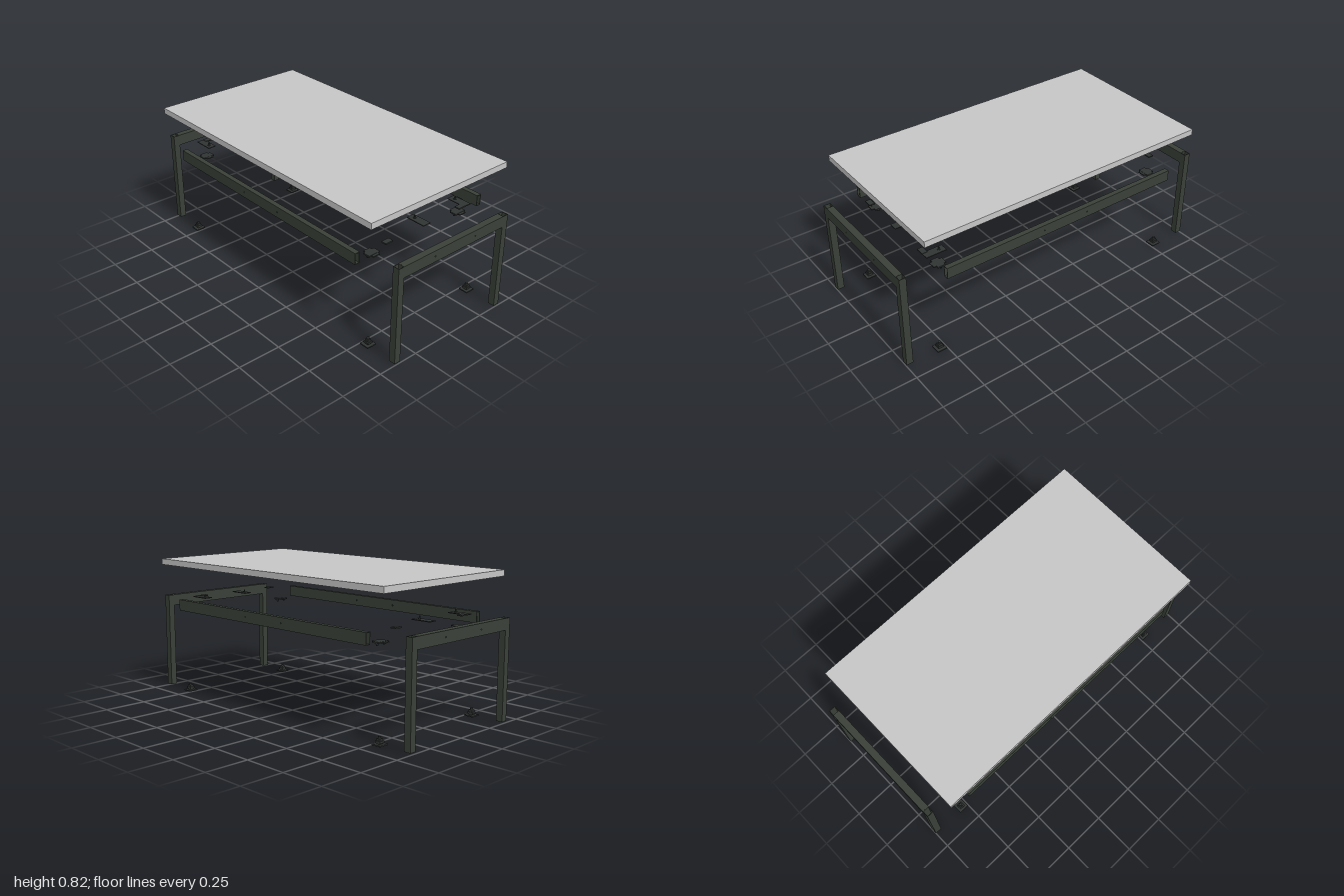
import * as THREE from 'three';

export function createModel() {
  const model = new THREE.Group();
  const mat = (name, color) => Object.assign(new THREE.MeshStandardMaterial({ color }), { name });
  const topGrey = mat('tabletop grey', 0xc6c6c6);
  const frameGreen = mat('frame dark green', 0x3a4038);
  const hardware = mat('hardware dark grey', 0x303432);

  const add = (parent, name, geometry, material, x = 0, y = 0, z = 0) => {
    const mesh = new THREE.Mesh(geometry, material);
    mesh.name = name;
    mesh.position.set(x, y, z);
    parent.add(mesh);
    return mesh;
  };
  const group = (name, x = 0, y = 0, z = 0) => {
    const g = new THREE.Group();
    g.name = name;
    g.position.set(x, y, z);
    model.add(g);
    return g;
  };
  const box = (parent, name, material, size, pos) =>
    add(parent, name, new THREE.BoxGeometry(...size), material, ...pos);
  const rect = (T, w, h) => {
    const p = new T();
    p.moveTo(-w / 2, -h / 2).lineTo(w / 2, -h / 2).lineTo(w / 2, h / 2).lineTo(-w / 2, h / 2).closePath();
    return p;
  };
  const WALL = 0.003;

  // Open box section lying along x, with through holes in both side walls
  const drilledTube = (parent, name, length, height, width, holeX) => {
    const side = rect(THREE.Shape, length, height);
    for (const s of [-1, 1]) {
      side.holes.push(new THREE.Path().absarc(s * holeX, 0, 0.004, 0, Math.PI * 2, true));
    }
    const wall = new THREE.ExtrudeGeometry(side, { depth: WALL, bevelEnabled: false, curveSegments: 8 });
    for (const z of [-width / 2, width / 2 - WALL]) add(parent, name + ' side wall', wall, frameGreen, 0, 0, z);
    for (const s of [-1, 1]) {
      box(parent, name + ' flange', frameGreen, [length, WALL, width - 2 * WALL], [0, s * (height - WALL) / 2, 0]);
    }
  };

  // Tabletop
  box(model, 'tabletop', topGrey, [1.79, 0.035, 0.98], [0, 0.8, 0]);

  // Long rails
  for (const s of [-1, 1]) drilledTube(group('long rail', 0, 0.546, s * 0.45), 'rail', 1.525, 0.065, 0.03, 0.147);

  // End frames: hollow open-topped legs joined by a cross beam
  const legShape = rect(THREE.Shape, 0.04, 0.038);
  legShape.holes.push(rect(THREE.Path, 0.04 - 2 * WALL, 0.038 - 2 * WALL));
  const legGeo = new THREE.ExtrudeGeometry(legShape, { depth: 0.568, bevelEnabled: false });
  legGeo.rotateX(-Math.PI / 2);
  for (const s of [-1, 1]) {
    const frame = group('end frame', s * 0.98);
    for (const t of [-1, 1]) add(frame, 'leg', legGeo, frameGreen, 0, 0.01, t * 0.383);
    const beam = new THREE.Group();
    beam.name = 'cross beam';
    beam.position.y = 0.546;
    beam.rotation.y = Math.PI / 2;
    frame.add(beam);
    drilledTube(beam, 'beam', 0.728, 0.065, 0.04, 0.147);
  }

  const stud = new THREE.CylinderGeometry(0.004, 0.004, 0.022, 12);
  const collar = new THREE.CylinderGeometry(0.009, 0.009, 0.004, 16);
  const insert = new THREE.CylinderGeometry(0.0075, 0.0075, 0.02, 12);
  const bolt = new THREE.CylinderGeometry(0.009, 0.005, 0.014, 8);
  const footStud = new THREE.CylinderGeometry(0.008, 0.008, 0.014, 12);

  for (const sx of [-1, 1]) {
    for (const sz of [-1, 1]) {
      // Levelling foot
      const foot = group('foot', sx * 0.785, 0, sz * 0.383);
      box(foot, 'foot plate', hardware, [0.058, 0.007, 0.058], [0, 0.0035, 0]);
      box(foot, 'foot plug', hardware, [0.034, 0.011, 0.032], [0, 0.0185, 0]);
      box(foot, 'foot neck', hardware, [0.024, 0.02, 0.024], [0, 0.015, 0]);
      box(foot, 'foot cap', hardware, [0.024, 0.011, 0.022], [0, 0.0295, 0]);
      add(foot, 'foot stud', footStud, hardware, 0, 0.038, 0);

      // Corner connector with two bolts pointing down
      const joint = group('corner connector', sx * 0.728, 0, sz * 0.32);
      box(joint, 'connector long plate', hardware, [0.075, 0.006, 0.044], [0, 0.509, 0]);
      box(joint, 'connector cross plate', hardware, [0.044, 0.008, 0.074], [0, 0.509, 0]);
      for (const t of [-1, 1]) add(joint, 'connector bolt', bolt, hardware, 0, 0.498, t * 0.026);

      // Corner tab
      box(model, 'corner tab', hardware, [0.032, 0.007, 0.05], [sx * 0.785, 0.5815, sz * 0.27]);
    }

    // Mounting plates with studs, and the threaded inserts above them
    for (const z of [0, -sx * 0.31]) {
      const plate = group('mounting plate', sx * 0.74, 0, z);
      box(plate, 'plate', hardware, [0.12, 0.005, 0.05], [0, 0.5805, 0]);
      add(plate, 'plate collar', collar, hardware, -sx * 0.028, 0.584, 0);
      add(plate, 'plate stud', stud, hardware, -sx * 0.028, 0.589, 0);
      add(plate, 'threaded insert', insert, hardware, -sx * 0.028, 0.76, 0);
    }
  }
  return model;
}
